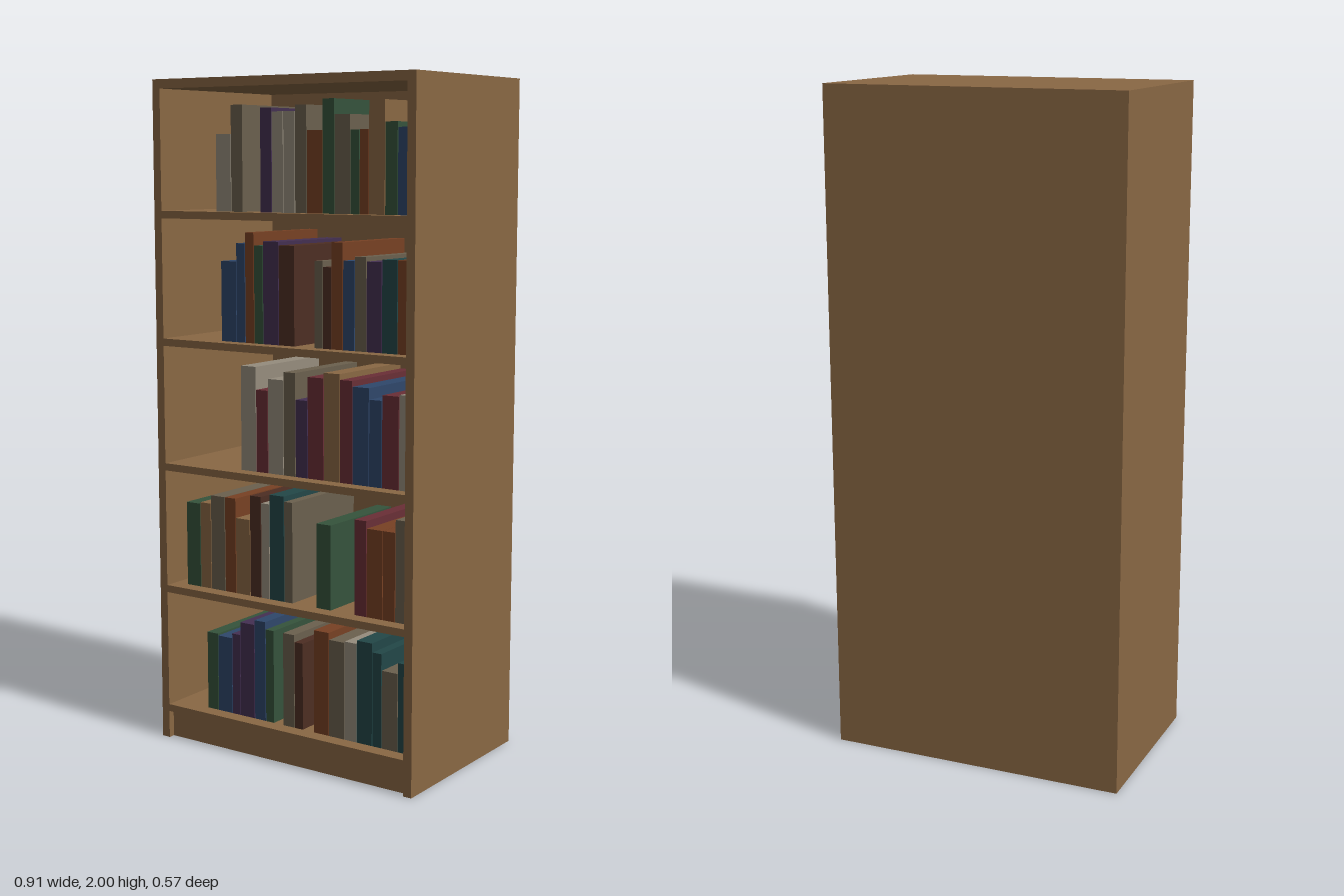
import * as THREE from 'three';

const paint = (name, color) => {
  const m = new THREE.MeshStandardMaterial({ color });
  m.name = name;
  return m;
};

const WOOD = paint('wood', 0x8a6844);
const CREAM = paint('cream', 0x968d7e);
const GREY = paint('warmGrey', 0x6b604e);
const GREEN = paint('green', 0x35533c);
const PURPLE = paint('purple', 0x443052);
const RUST = paint('rust', 0x784124);
const BLUE = paint('blue', 0x2f476b);
const BROWN = paint('brown', 0x4d2e23);
const RED = paint('red', 0x6a2f36);
const TEAL = paint('teal', 0x234748);

// Cabinet size, board thicknesses and shelf spacing
const W = 0.908, H = 2, D = 0.566, T = 0.027, SHELF = 0.022, BACK = 0.02;
const INNER = W - 2 * T;
const FIRST_SHELF = 0.106, SHELF_STEP = 0.3783;

// Book thicknesses, depth and spine position
const THIN = 0.03, MID = 0.04, WIDE = 0.052;
const BOOK_DEPTH = 0.32, BOOK_FRONT = 0.238, BOOK_GAP = 0.002;

// Box from its minimum corner and size
function box(name, mat, x, y, z, w, h, d) {
  const mesh = new THREE.Mesh(new THREE.BoxGeometry(w, h, d), mat);
  mesh.position.set(x + w / 2, y + h / 2, z + d / 2);
  mesh.name = name;
  return mesh;
}

// Run of touching books [thickness, colour, height], fitted between two x positions
function bookRun(from, to, ...books) {
  const run = new THREE.Group();
  run.name = 'bookRun';
  const fit = (to - from) / books.reduce((sum, [w]) => sum + w, 0);
  let x = from;
  for (const [w, mat, h] of books) {
    run.add(box('book', mat, x, 0, BOOK_FRONT - BOOK_DEPTH, w * fit - BOOK_GAP, h, BOOK_DEPTH));
    x += w * fit;
  }
  return run;
}

// Shelf board carrying its runs of books, counted from the bottom
function shelf(index, ...runs) {
  const group = new THREE.Group();
  group.name = 'shelfWithBooks';
  group.add(box('shelfBoard', WOOD, -INNER / 2, -SHELF, -D / 2 + BACK, INNER, SHELF, D - BACK), ...runs);
  group.position.y = FIRST_SHELF + index * SHELF_STEP;
  return group;
}

export function createModel() {
  const model = new THREE.Group();
  model.name = 'bookcase';

  // Cabinet: sides, top, back and recessed plinth
  model.add(
    box('rightSide', WOOD, -W / 2, 0, -D / 2, T, H, D),
    box('leftSide', WOOD, W / 2 - T, 0, -D / 2, T, H, D),
    box('topPanel', WOOD, -INNER / 2, H - T, -D / 2, INNER, T, D),
    box('backPanel', WOOD, -INNER / 2, 0, -D / 2, INNER, H - T, BACK),
    box('plinth', WOOD, -INNER / 2, 0, D / 2 - 0.045, INNER, FIRST_SHELF - SHELF, 0.025),
  );

  // Bottom shelf
  model.add(shelf(0,
    bookRun(-0.308, -0.055, [MID, GREEN, 0.24], [WIDE, BLUE, 0.235], [THIN, PURPLE, 0.25],
      [WIDE, PURPLE, 0.29], [MID, BLUE, 0.305], [THIN, GREEN, 0.283]),
    bookRun(-0.022, 0.051, [MID, GREY, 0.283], [THIN, BROWN, 0.262]),
    bookRun(0.089, 0.411, [WIDE, RUST, 0.31], [WIDE, GREY, 0.29], [MID, CREAM, 0.294],
      [WIDE, TEAL, 0.304], [THIN, TEAL, 0.278], [WIDE, GREY, 0.23], [THIN, TEAL, 0.262]),
  ));

  // Second shelf
  model.add(shelf(1,
    bookRun(-0.383, 0.015, [WIDE, GREEN, 0.257], [MID, WOOD, 0.262], [WIDE, GREY, 0.288],
      [MID, RUST, 0.288], [WIDE, WOOD, 0.23], [MID, BROWN, 0.304], [THIN, CREAM, 0.286],
      [WIDE, TEAL, 0.315], [THIN, GREY, 0.3]),
    bookRun(0.099, 0.151, [WIDE, GREEN, 0.25]),
    bookRun(0.231, 0.411, [MID, RED, 0.278], [WIDE, RUST, 0.257], [MID, RUST, 0.257],
      [MID, GREY, 0.294]),
  ));

  // Middle shelf
  model.add(shelf(2,
    bookRun(-0.171, 0.411, [WIDE, CREAM, 0.31], [MID, RED, 0.243], [WIDE, CREAM, 0.278],
      [MID, GREY, 0.302], [MID, PURPLE, 0.225], [WIDE, RED, 0.294], [WIDE, WOOD, 0.31],
      [MID, RED, 0.294], [WIDE, BLUE, 0.278], [MID, BLUE, 0.246], [WIDE, RED, 0.262],
      [THIN, CREAM, 0.267]),
  ));

  // Fourth shelf
  model.add(shelf(3,
    bookRun(-0.24, 0.025, [WIDE, BLUE, 0.235], [THIN, BLUE, 0.288], [THIN, RUST, 0.32],
      [THIN, GREEN, 0.283], [WIDE, PURPLE, 0.296], [WIDE, BROWN, 0.286]),
    bookRun(0.094, 0.411, [THIN, GREY, 0.246], [THIN, BROWN, 0.23], [MID, RUST, 0.3],
      [MID, BLUE, 0.25], [MID, GREY, 0.262], [WIDE, PURPLE, 0.25], [WIDE, TEAL, 0.257],
      [MID, RUST, 0.257]),
  ));

  // Top shelf
  model.add(shelf(4,
    bookRun(-0.255, -0.157, [WIDE, CREAM, 0.222], [MID, GREY, 0.304]),
    bookRun(-0.094, 0.411, [MID, PURPLE, 0.294], [MID, CREAM, 0.283], [MID, CREAM, 0.283],
      [MID, GREY, 0.3], [WIDE, RUST, 0.23], [MID, GREEN, 0.315], [WIDE, GREY, 0.272],
      [THIN, GREEN, 0.23], [THIN, RUST, 0.23], [WIDE, WOOD, 0.309], [MID, GREEN, 0.25],
      [MID, BLUE, 0.235]),
  ));

  return model;
}
